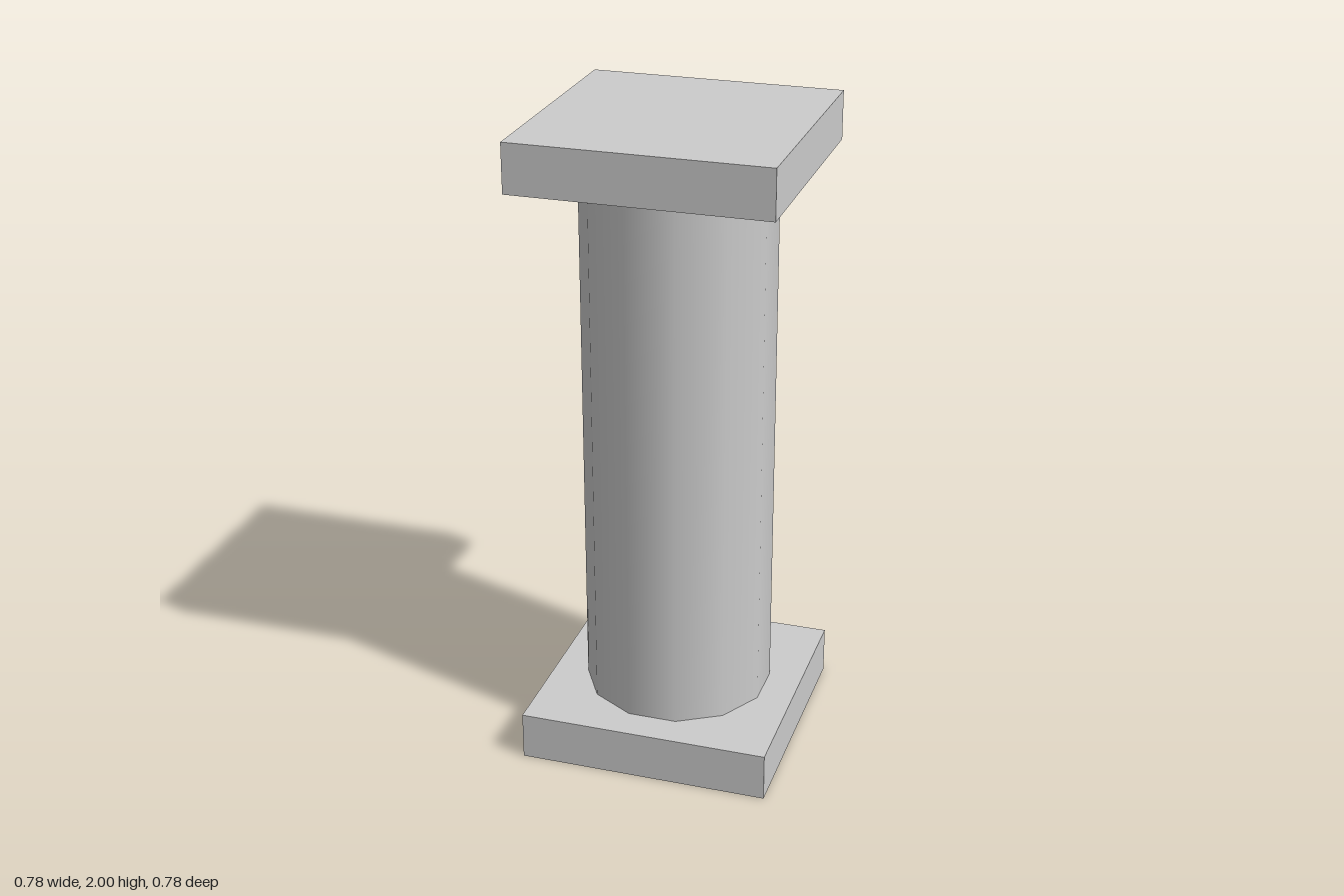
import * as THREE from 'three';

const HEIGHT = 2;
const SLAB_SIZE = 0.78;
const SLAB_HEIGHT = 0.15;
const SHAFT_RADIUS = 0.293;
const SHAFT_SIDES = 12;

export function createModel() {
  const group = new THREE.Group();
  group.name = 'column';
  const material = new THREE.MeshStandardMaterial({ color: 0xcccccc });

  const addPart = (name, geometry, y) => {
    const mesh = new THREE.Mesh(geometry, material);
    mesh.name = name;
    mesh.position.y = y;
    group.add(mesh);
  };

  // Square base and matching cap
  const slab = new THREE.BoxGeometry(SLAB_SIZE, SLAB_HEIGHT, SLAB_SIZE);
  addPart('base', slab, SLAB_HEIGHT / 2);
  addPart('cap', slab, HEIGHT - SLAB_HEIGHT / 2);

  // Twelve-sided smooth shaft, turned so a flat side faces the front
  const shaft = new THREE.CylinderGeometry(
    SHAFT_RADIUS, SHAFT_RADIUS, HEIGHT - 2 * SLAB_HEIGHT,
    SHAFT_SIDES, 1, true, Math.PI / SHAFT_SIDES
  );
  addPart('shaft', shaft, HEIGHT / 2);

  return group;
}
